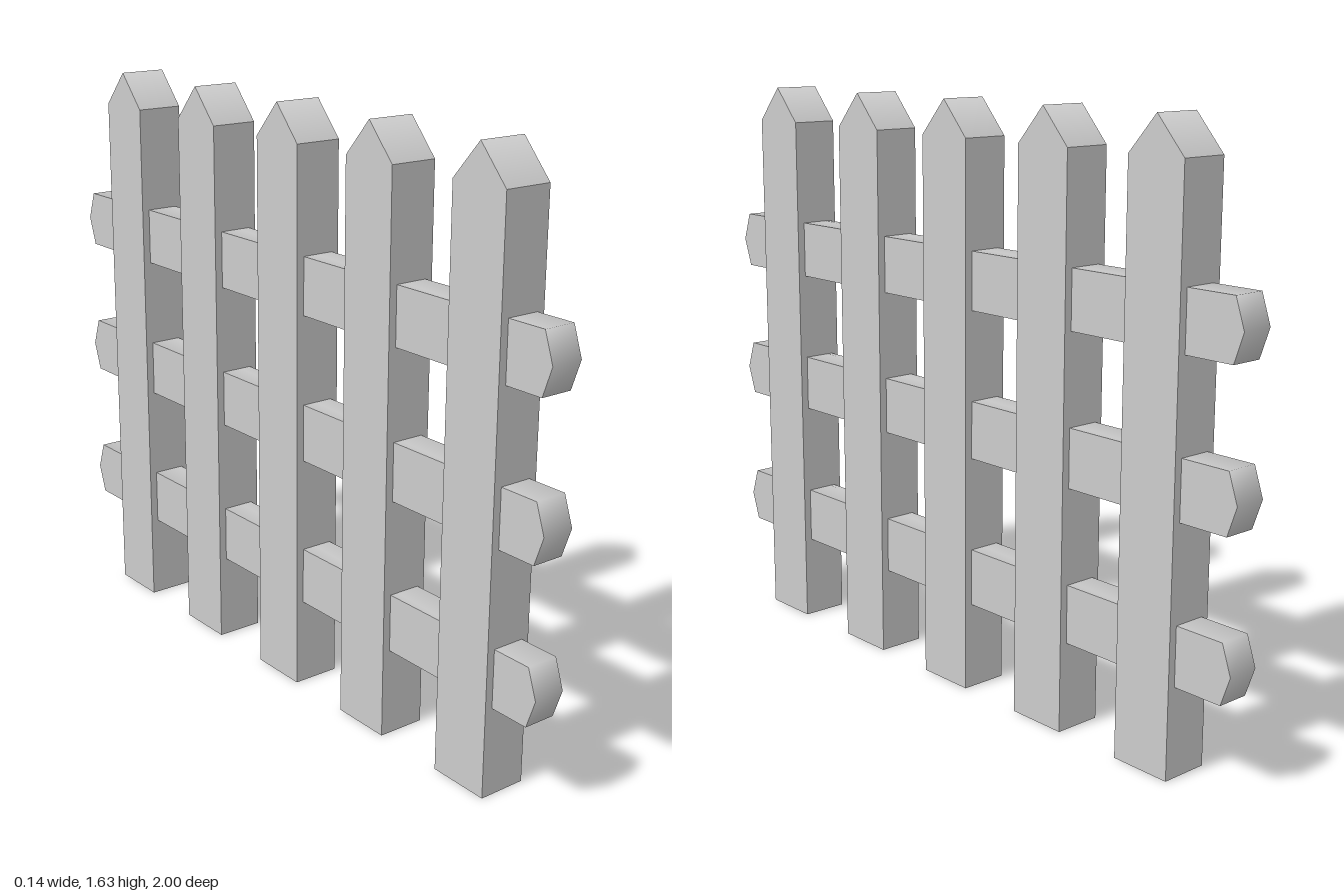
import * as THREE from 'three';
import { toCreasedNormals } from 'three/addons/utils/BufferGeometryUtils.js';

const material = new THREE.MeshStandardMaterial({ color: 0xcccccc });

// Extrude a (z, y) outline along x, centred on x = 0
function slab(points, thickness) {
  const shape = new THREE.Shape(points.map(([z, y]) => new THREE.Vector2(z, y)));
  const geometry = new THREE.ExtrudeGeometry(shape, { depth: thickness, bevelEnabled: false });
  return geometry.translate(0, 0, -thickness / 2).rotateY(-Math.PI / 2);
}

// Pointed upright board; the ridge is smoothed, all other edges stay sharp
function picketGeometry() {
  const w = 0.0875, shoulder = 1.53, top = 1.628;
  const geometry = slab([[-w, 0], [w, 0], [w, shoulder], [0, top], [-w, shoulder]], 0.136);
  const { position, normal } = geometry.attributes;
  for (let i = 0; i < position.count; i++) {
    if (position.getY(i) > top - 0.001 && Math.abs(normal.getX(i)) < 0.5) normal.setXYZ(i, 0, 1, 0);
  }
  return geometry;
}

// Horizontal bar with shallow pointed, softly shaded ends
function railGeometry() {
  const h = 0.08, end = 1, shoulder = 0.972;
  const outline = [[-shoulder, -h], [shoulder, -h], [end, 0], [shoulder, h], [-shoulder, h], [-end, 0]];
  return toCreasedNormals(slab(outline, 0.092), 1.5);
}

export function createModel() {
  const fence = new THREE.Group();
  fence.name = 'picketFence';

  // Uprights, front to back
  const picket = picketGeometry();
  [0.769, 0.383, 0.011, -0.364, -0.74].forEach((z, i) => {
    const mesh = new THREE.Mesh(picket, material);
    mesh.name = `picket${i + 1}`;
    mesh.position.z = z;
    fence.add(mesh);
  });

  // Cross rails, bottom to top
  const rail = railGeometry();
  ['lowerRail', 'middleRail', 'upperRail'].forEach((name, i) => {
    const mesh = new THREE.Mesh(rail, material);
    mesh.name = name;
    mesh.position.y = [0.324, 0.745, 1.154][i];
    fence.add(mesh);
  });

  return fence;
}
